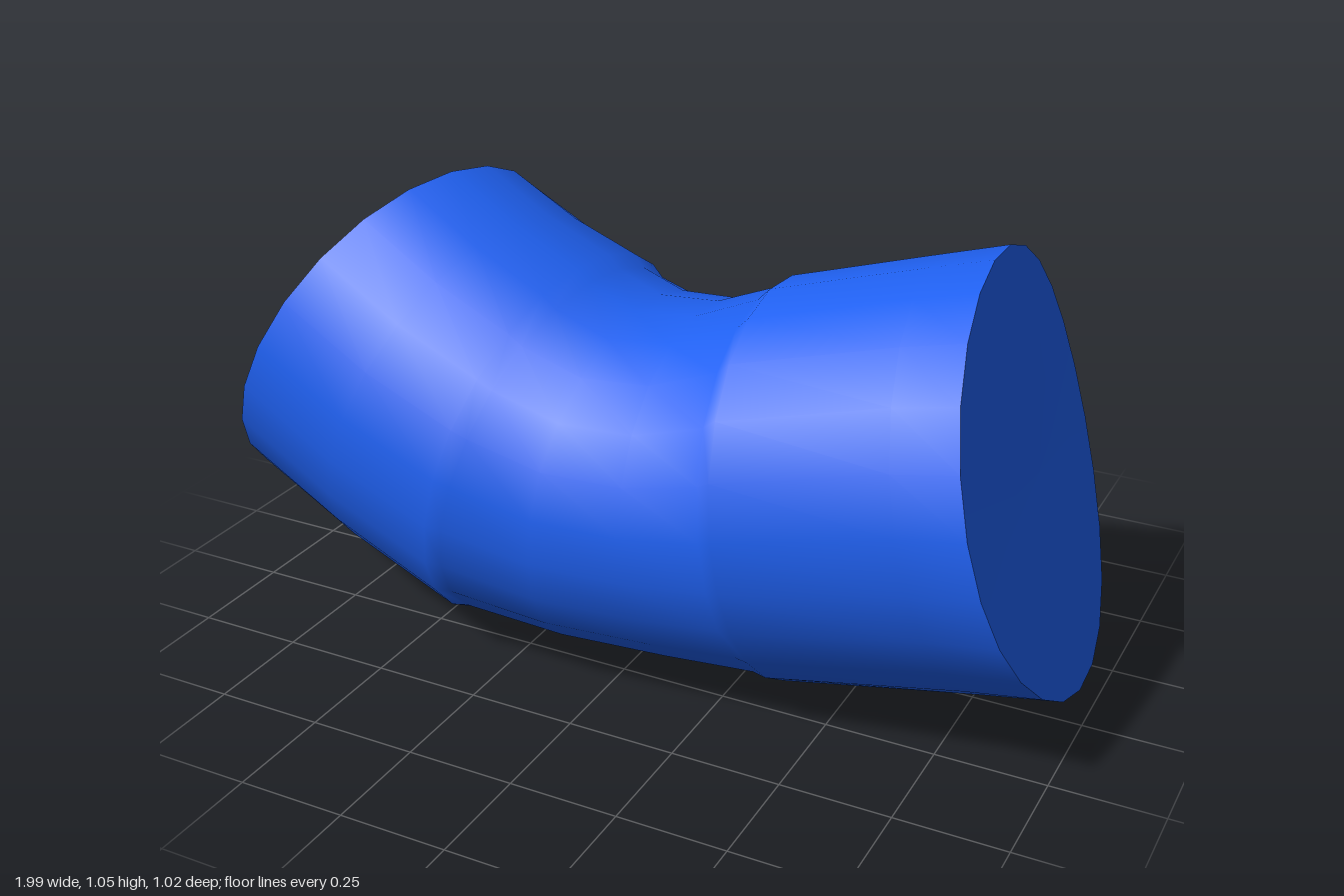
import * as THREE from 'three';

const SIDES = 24;
const WALL = 0.97;

// A tilted cross-section: centre, axis direction, vertical and depth radii,
// a skew that swells the upper front and lower back diagonals,
// and a sag that draws the sides back along the axis
const ring = (c, n, ry, rz, skew = 0, sag = 0) => ({
  c: new THREE.Vector3(...c), n: new THREE.Vector3(...n).normalize(), ry, rz, skew, sag,
});

// Same section with a scaled radius, moved along its axis
const inset = (r, scale, shift = 0) => ({
  ...r, c: r.c.clone().addScaledVector(r.n, shift), ry: r.ry * scale, rz: r.rz * scale, sag: r.sag * scale,
});

// Skin between successive sections; reversing their order turns the faces inward
function loft(name, rings) {
  const pos = [], index = [];
  rings.forEach(({ c, n, ry, rz, skew, sag }, i) => {
    const side = new THREE.Vector3(0, 0, 1).addScaledVector(n, -n.z).normalize();
    const up = side.clone().cross(n);
    for (let j = 0; j < SIDES; j++) {
      const a = ((j + 0.5) / SIDES) * Math.PI * 2;
      const k = 1 + skew * Math.sin(2 * a);
      const p = c.clone()
        .addScaledVector(up, Math.cos(a) * ry * k)
        .addScaledVector(side, Math.sin(a) * rz * k)
        .addScaledVector(n, -sag * Math.sin(a) ** 2);
      pos.push(p.x, p.y, p.z);
      if (i === rings.length - 1) continue;
      const s = i * SIDES, t = s + SIDES, next = (j + 1) % SIDES;
      index.push(s + j, s + next, t + next, s + j, t + next, t + j);
    }
  });
  const geo = new THREE.BufferGeometry();
  geo.setAttribute('position', new THREE.Float32BufferAttribute(pos, 3));
  geo.setIndex(index);
  geo.computeVertexNormals();
  const material = new THREE.MeshStandardMaterial({ color: 0x1f60f0, side: THREE.DoubleSide });
  const mesh = new THREE.Mesh(geo, material);
  mesh.name = name;
  return mesh;
}

export function createModel() {
  const group = new THREE.Group();
  group.name = 'pipeElbow';

  // Flared open socket, bent middle and flared capped socket
  const openEnd = ring([-0.76, 0.627, -0.022], [0.865, -0.46, 0.19], 0.478, 0.48, 0.03);
  const openSocket = [
    openEnd,
    ring([-0.52, 0.535, 0.027], [0.9, -0.37, 0.14], 0.467, 0.472, 0.02),
    ring([-0.29, 0.457, 0.05], [0.92, -0.235, 0.1], 0.462, 0.462),
  ];
  const body = [
    ring([-0.255, 0.449, 0.055], [0.92, -0.235, 0.1], 0.442, 0.45),
    ring([-0.08, 0.425, 0.052], [1, -0.1, 0.03], 0.409, 0.446),
    ring([0.12, 0.428, 0.04], [1, 0.05, 0], 0.411, 0.448, 0.02),
    ring([0.295, 0.455, 0.027], [1, 0.12, -0.03], 0.444, 0.458, 0.04),
  ];
  const cappedEnd = ring([0.865, 0.58, -0.025], [0.963, 0.265, -0.08], 0.489, 0.494, 0.025, 0.03);
  const cappedSocket = [
    ring([0.325, 0.465, 0.025], [1, 0.12, -0.03], 0.463, 0.468, 0.04),
    ring([0.71, 0.547, -0.01], [0.97, 0.22, -0.07], 0.482, 0.468, 0.03, 0.02),
    cappedEnd,
  ];

  const sections = [...openSocket, ...body, ...cappedSocket];
  group.add(loft('outerWall', sections));

  // Hollow bore, ending just behind the cap
  const bore = sections.map((r) => inset(r, WALL, r === cappedEnd ? -0.01 : 0));
  group.add(loft('bore', bore.reverse()));

  // Thin lip at the open mouth and cap at the other end
  group.add(
    loft('openLip', [inset(openEnd, WALL), openEnd]),
    loft('endCap', [cappedEnd, inset(cappedEnd, 0.0001, -0.015)]),
  );

  return group;
}
